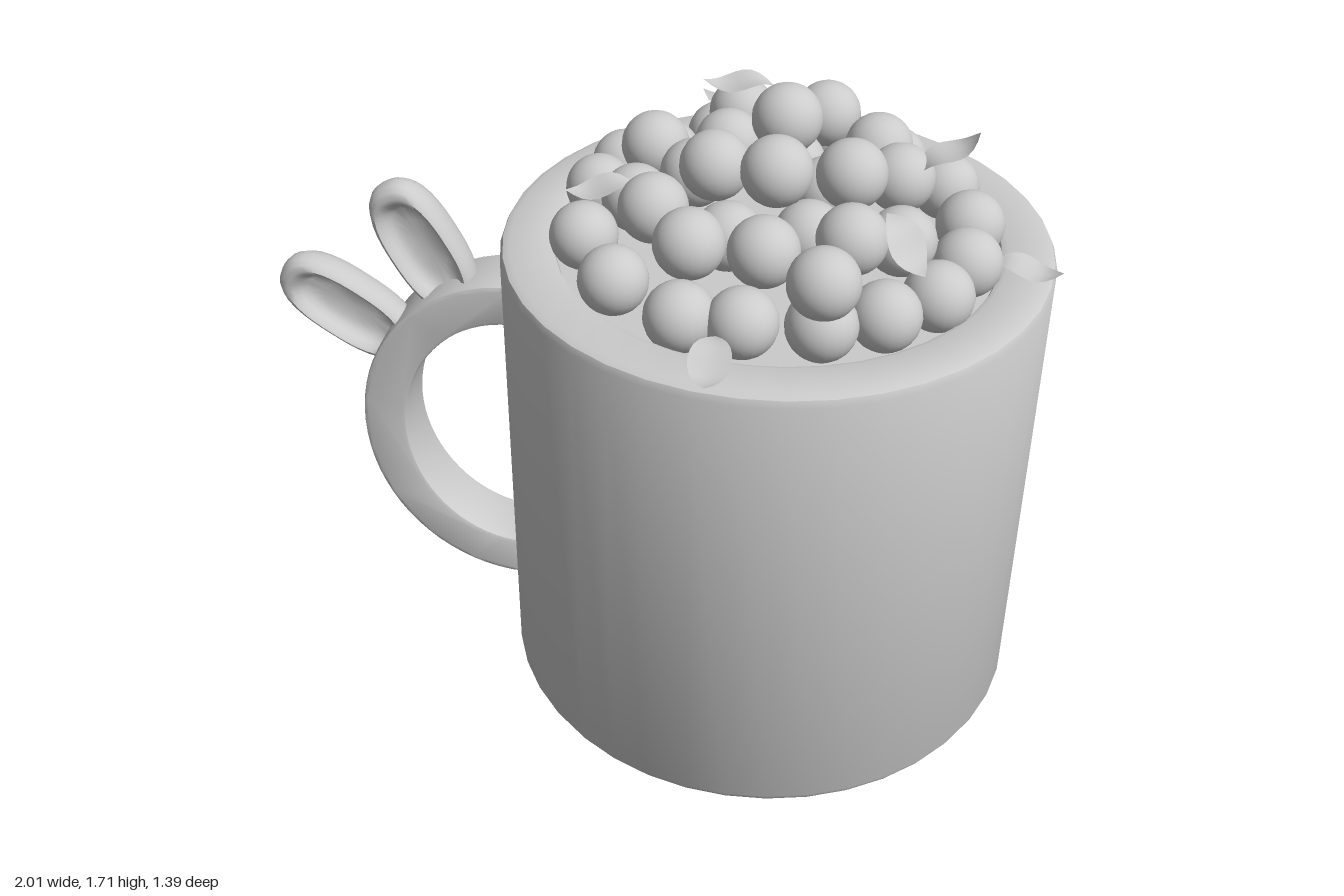
import * as THREE from 'three';
import { toCreasedNormals } from 'three/addons/utils/BufferGeometryUtils.js';

const grey = new THREE.MeshStandardMaterial({ color: 0xcccccc });
const thin = new THREE.MeshStandardMaterial({ color: 0xcccccc, side: THREE.DoubleSide });
const CX = 0.31, CZ = -0.01;

function add(parent, name, geometry, material = grey) {
  const mesh = new THREE.Mesh(geometry, material);
  mesh.name = name;
  parent.add(mesh);
  return mesh;
}
const lathe = (pts, segments) =>
  new THREE.LatheGeometry(pts.map(([x, y]) => new THREE.Vector2(x, y)), segments);

// Cup wall, rim and the filled inside just below the rim
function mugGeometry() {
  const profile = [
    [0, 0], [0.665, 0], [0.68, 0.006], [0.69, 0.025],
    [0.69, 1.275], [0.683, 1.292], [0.665, 1.3],
    [0.57, 1.3], [0.556, 1.294], [0.55, 1.28], [0.55, 1.25], [0, 1.25],
  ];
  return toCreasedNormals(lathe(profile, 40), 0.6);
}

// Half-ring handle with softly bevelled edges
function handleGeometry() {
  const b = 0.012, x = -0.36, y = 0.645;
  const shape = new THREE.Shape();
  shape.absellipse(x, y, 0.43 - b, 0.485 - b, Math.PI / 2, Math.PI * 1.5, false, 0);
  shape.absellipse(x, y, 0.31 + b, 0.365 + b, Math.PI * 1.5, Math.PI / 2, true, 0);
  const geo = new THREE.ExtrudeGeometry(shape, {
    depth: 0.17 - 2 * b, bevelSize: b, bevelThickness: b, bevelSegments: 2, curveSegments: 18,
  });
  geo.translate(0, 0, -0.08 + b);
  return toCreasedNormals(geo, 0.6);
}

// Long ear: domed back, raised rim and hollow front, stretched to a rounded outline
function earGeometry(halfWidth, halfLength) {
  const profile = [
    [0, -0.07], [0.4, -0.066], [0.7, -0.052], [0.9, -0.028], [0.98, -0.005], [1, 0.015],
    [0.98, 0.038], [0.92, 0.055], [0.83, 0.062], [0.75, 0.056], [0.68, 0.038], [0.6, 0.022],
    [0.4, 0.014], [0, 0.01],
  ];
  const geo = lathe(profile, 40).rotateX(Math.PI / 2);
  const p = geo.attributes.position;
  for (let i = 0; i < p.count; i++) {
    const x = p.getX(i), y = p.getY(i), r = Math.hypot(x, y);
    if (r < 1e-6) continue;
    const n = 2.6;
    const k = Math.pow(Math.pow(Math.abs(x / r), n) + Math.pow(Math.abs(y / r), n), -1 / n);
    p.setXY(i, x * k * halfWidth, y * k * halfLength);
  }
  return toCreasedNormals(geo, 1.0);
}

// Pointed leaf along z with an S-bend and a shallow fold
function leafGeometry(length = 0.18, width = 0.1) {
  const geo = new THREE.PlaneGeometry(1, 1, 4, 10).rotateX(-Math.PI / 2);
  const p = geo.attributes.position;
  for (let i = 0; i < p.count; i++) {
    const u = p.getX(i) * 2, t = p.getZ(i) + 0.5;
    const w = (width / 2) * Math.pow(Math.sin(Math.PI * t), 0.9);
    p.setXYZ(i, u * w, 0.014 * Math.sin(t * Math.PI * 2) + 0.12 * w * u * u, (t - 0.5) * length);
  }
  geo.computeVertexNormals();
  return geo;
}

// Berry centres as x, z pairs, grouped by height
const layers = [
  [1.335, [
    [0.25, -0.50], [0.10, -0.45], [0.57, -0.39], [-0.02, -0.32], [0.71, -0.27], [-0.12, -0.25],
    [-0.16, -0.11], [0.78, -0.09], [-0.15, 0.13], [0.78, 0.09], [0.72, 0.25], [-0.04, 0.315],
    [0.605, 0.355], [0.14, 0.44], [0.285, 0.44], [0.465, 0.42], [0.40, -0.50],
  ]],
  [1.39, [[0.42, -0.10], [0.32, -0.22], [-0.04, 0.02], [0.62, 0.11], [0.21, 0.16], [0.4, 0.12]]],
  [1.455, [
    [0.17, -0.36], [0.39, -0.385], [0.535, -0.23], [-0.02, -0.14], [0.16, -0.185], [0.60, -0.08],
    [0.10, -0.015], [0.03, 0.17], [0.51, 0.23], [0.14, 0.315], [0.315, 0.32], [0.465, 0.43],
  ]],
  [1.54, [[0.165, 0.09], [0.49, 0.075]]],
  [1.575, [[0.32, 0.155]]],
  [1.615, [[0.32, -0.035]]],
];

// Leaves: x, y, z, turn about y, pitch
const leaves = [
  [0.235, 1.33, 0.60, 0, 0.1],
  [0.92, 1.333, 0.09, 1.35, -0.1],
  [0.71, 1.535, -0.075, 1.9, -0.6],
  [0.20, 1.69, -0.05, -1.2, -0.2],
  [0.10, 1.44, -0.46, 2.9, 0.3],
  [-0.10, 1.485, 0.15, -1.1, -0.1],
  [0.635, 1.49, 0.29, 0.7, 0.5],
];

export function createModel() {
  const model = new THREE.Group();
  model.name = 'mugOfBerries';

  add(model, 'mug', mugGeometry()).position.set(CX, 0, CZ);
  add(model, 'handle', handleGeometry());

  // Ears growing from the handle
  const earGeo = earGeometry(0.095, 0.2);
  [['lowerEar', -0.818, 0.985, 0.01, 0.99], ['upperEar', -0.6, 1.183, -0.007, 0.49]]
    .forEach(([name, x, y, z, tilt]) => {
      const ear = add(model, name, earGeo);
      ear.position.set(x, y, z);
      ear.rotation.z = tilt;
    });

  // Heap of berries
  const berries = new THREE.Group();
  berries.name = 'berries';
  model.add(berries);
  const berryGeo = new THREE.SphereGeometry(0.086, 24, 16);
  for (const [y, centres] of layers)
    for (const [x, z] of centres) add(berries, 'berry', berryGeo).position.set(x, y, z);

  // Loose leaves
  const foliage = new THREE.Group();
  foliage.name = 'leaves';
  model.add(foliage);
  const leafGeo = leafGeometry();
  for (const [x, y, z, turn, pitch] of leaves) {
    const leaf = add(foliage, 'leaf', leafGeo, thin);
    leaf.position.set(x, y, z);
    leaf.rotation.set(pitch, turn, 0, 'YXZ');
  }
  return model;
}
